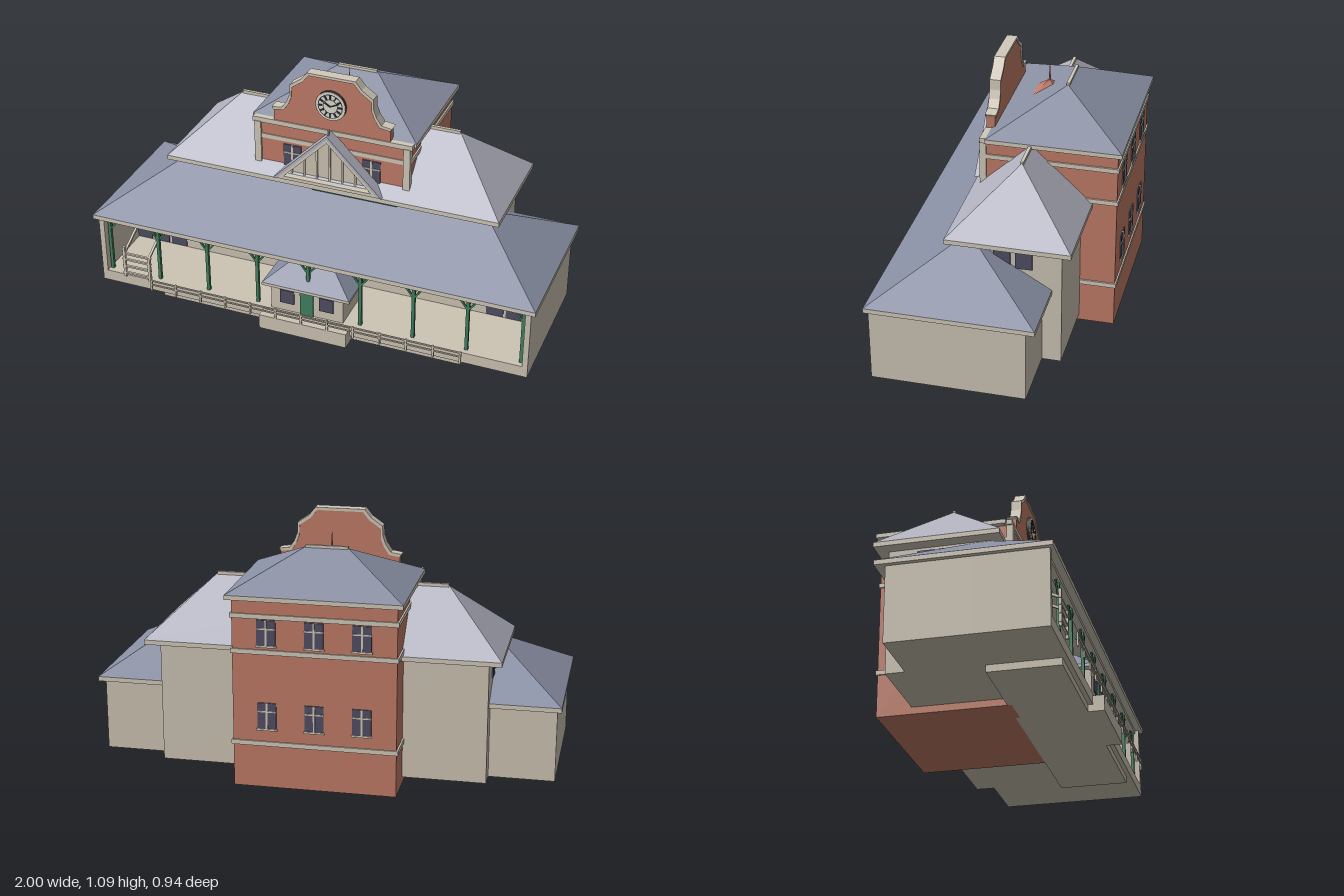
import * as THREE from 'three';

const mat = (name, color, extra = {}) => Object.assign(new THREE.MeshStandardMaterial({ color, ...extra }), { name });
const M = {
  wall: mat('cream wall', 0xcdc4b4),
  trim: mat('pale trim', 0xd2cabb),
  brick: mat('brick', 0xc17c67),
  slate: mat('blue slate', 0x8a90a4),
  tile: mat('light slate', 0xb4b4c2),
  glass: mat('dark glass', 0x504e64),
  green: mat('green paint', 0x42805f),
  dark: mat('dark iron', 0x3c3c40),
  face: mat('dial white', 0xdcdacb),
};

export function createModel() {
  const root = new THREE.Group();
  const add = (name, geo, material, parent = root) => {
    const m = new THREE.Mesh(geo, material);
    m.name = name;
    parent.add(m);
    return m;
  };
  // box given by its limits on each axis
  const box = (name, x0, x1, y0, y1, z0, z1, material) => {
    const m = add(name, new THREE.BoxGeometry(x1 - x0, y1 - y0, z1 - z0), material);
    m.position.set((x0 + x1) / 2, (y0 + y1) / 2, (z0 + z1) / 2);
    return m;
  };
  // square bar between two points
  const bar = (name, a, b, t, material) => {
    const p = new THREE.Vector3(...a), q = new THREE.Vector3(...b);
    const m = add(name, new THREE.BoxGeometry(t, t, p.distanceTo(q)), material);
    m.position.copy(p).add(q).multiplyScalar(0.5);
    m.lookAt(q);
    return m;
  };
  // hipped roof on a flat eave board
  const hipRoof = (name, x, z0, z1, y0, y1, top, ridge, material) => {
    box(name + 'Eave', -x, x, y0, y1, z0, z1, M.trim);
    const zc = (z0 + z1) / 2;
    const A = [-x, y1, z1], B = [x, y1, z1], C = [x, y1, z0], D = [-x, y1, z0];
    const L = [-ridge, top, zc], R = [ridge, top, zc];
    const g = new THREE.BufferGeometry();
    const tris = [A, B, R, A, R, L, B, C, R, C, D, L, C, L, R, D, A, L];
    g.setAttribute('position', new THREE.Float32BufferAttribute(tris.flat(), 3));
    g.computeVertexNormals();
    add(name, g, material);
  };
  const extrude = (name, pts, depth, z, material, hole) => {
    const s = new THREE.Shape(pts.map(p => new THREE.Vector2(...p)));
    if (hole) s.holes.push(new THREE.Path(hole.map(p => new THREE.Vector2(...p))));
    const m = add(name, new THREE.ExtrudeGeometry(s, { depth, bevelEnabled: false }), material);
    m.position.z = z;
  };

  // low wing with open porch
  box('wingBody', -0.98, 0.98, 0.03, 0.35, -0.22, 0.12, M.wall);
  box('porchFloor', -0.98, 0.98, 0.03, 0.08, 0.12, 0.42, M.wall);
  for (const s of [-1, 1]) box('porchSideWall', s * 0.968 - 0.012, s * 0.968 + 0.012, 0.08, 0.35, 0.12, 0.42, M.wall);
  box('porchBeam', -0.956, 0.956, 0.335, 0.35, 0.375, 0.405, M.trim);
  hipRoof('wingRoof', 1, -0.26, 0.435, 0.35, 0.37, 0.575, 0.67, M.slate);
  box('foundation', -0.69, 0.69, 0, 0.03, 0.1, 0.4, M.wall);
  box('entrancePlinth', -0.2, 0.2, 0, 0.068, 0.1, 0.468, M.wall);

  // porch windows
  for (let i = 0; i < 22; i++) {
    const x = -0.924 + i * 0.088, low = Math.abs(x) > 0.72 ? 0.083 : 0.155;
    box('upperPorchWindow', x - 0.038, x + 0.038, 0.232, 0.315, 0.12, 0.124, M.glass);
    box('lowerPorchWindow', x - 0.038, x + 0.038, low, 0.197, 0.12, 0.124, M.glass);
  }
  box('porchWindowBar', -0.96, 0.96, 0.262, 0.267, 0.12, 0.128, M.trim);

  // green posts with curved-looking brackets
  for (let i = -4; i <= 4; i++) {
    const x = i * 0.236;
    box('porchPost', x - 0.007, x + 0.007, 0.08, 0.335, 0.383, 0.397, M.green);
    for (const s of [-1, 1]) {
      if (Math.abs(x + s * 0.04) < 0.95) bar('postBracket', [x, 0.28, 0.39], [x + s * 0.04, 0.332, 0.39], 0.008, M.green);
    }
    bar('postBracket', [x, 0.28, 0.39], [x, 0.332, 0.35], 0.008, M.green);
  }

  // front railing
  for (const y of [0.092, 0.112]) box('frontRail', -0.72, 0.71, y - 0.003, y + 0.003, 0.462, 0.468, M.wall);
  for (let i = 0; i <= 12; i++) {
    const x = -0.715 + i * 0.1183;
    box('railPost', x - 0.004, x + 0.004, 0.06, 0.118, 0.461, 0.469, M.wall);
  }

  // side steps with handrails
  for (const x of [-0.86, -0.74]) {
    box('stepNewel', x - 0.006, x + 0.006, 0.08, x < -0.8 ? 0.235 : 0.2, 0.424, 0.436, M.trim);
    bar('stepHandrail', [x, 0.2, 0.43], [x, 0.31, 0.2], 0.01, M.trim);
  }
  for (const y of [0.1, 0.135, 0.17, 0.2]) box('stepRail', -0.87, -0.73, y - 0.004, y + 0.004, 0.425, 0.435, M.trim);

  // entrance kiosk
  box('kioskBody', -0.165, 0.165, 0.068, 0.2, 0.19, 0.41, M.wall);
  hipRoof('kioskRoof', 0.2, 0.17, 0.43, 0.2, 0.213, 0.333, 0.05, M.slate);
  box('kioskDoor', -0.03, 0.03, 0.075, 0.19, 0.41, 0.416, M.green);
  for (const s of [-1, 1]) box('kioskWindow', s * 0.09 - 0.032, s * 0.09 + 0.032, 0.12, 0.185, 0.41, 0.415, M.glass);

  // middle block
  box('middleBody', -0.7, 0.7, 0.03, 0.56, -0.3, 0.12, M.wall);
  hipRoof('middleRoof', 0.757, -0.348, 0.17, 0.56, 0.58, 0.82, 0.5, M.tile);
  box('middleRidgeCap', -0.5, 0.5, 0.813, 0.827, -0.096, -0.082, M.trim);
  box('greenValance', -0.075, 0.31, 0.55, 0.56, 0.14, 0.16, M.green);
  for (const s of [-1, 1]) for (const z of [0.04, -0.055, -0.145]) {
    box('sideWindow', s * 0.702 - 0.003, s * 0.702 + 0.003, 0.455, 0.547, z - 0.035, z + 0.035, M.glass);
  }

  // brick tower
  box('towerBody', -0.345, 0.345, 0, 0.815, -0.45, 0.118, M.brick);
  for (const y of [0.185, 0.585, 0.737]) box('towerBand', -0.352, 0.352, y, y + 0.02, -0.456, 0.122, M.trim);
  hipRoof('towerRoof', 0.37, -0.47, 0.1, 0.815, 0.834, 0.982, 0.09, M.slate);
  box('towerRidgeCap', -0.09, 0.09, 0.976, 0.99, -0.192, -0.178, M.trim);
  box('frontCornice', -0.36, 0.36, 0.812, 0.834, 0.09, 0.125, M.trim);
  for (const s of [-1, 1]) box('cornerPilaster', s * 0.337 - 0.015, s * 0.337 + 0.015, 0.62, 0.815, 0.1, 0.128, M.trim);

  // tower windows: pane, sill and glazing bars, facing +z or -z
  const sash = (x, y0, y1, z, dir) => {
    const b = (n, xa, xb, ya, yb, d, m) => box(n, xa, xb, ya, yb, Math.min(z, z + dir * d), Math.max(z, z + dir * d), m);
    b('towerWindow', x - 0.04, x + 0.04, y0, y1, 0.005, M.glass);
    b('windowMullion', x - 0.004, x + 0.004, y0, y1, 0.008, M.trim);
    b('windowTransom', x - 0.04, x + 0.04, y1 - 0.04, y1 - 0.034, 0.008, M.trim);
    b('windowSill', x - 0.044, x + 0.044, y0 - 0.008, y0, 0.008, M.trim);
  };
  for (const x of [-0.2, 0, 0.2]) {
    sash(x, 0.262, 0.375, -0.45, -1);
    sash(x, 0.624, 0.733, -0.45, -1);
  }
  for (const x of [-0.18, 0.18]) sash(x, 0.62, 0.725, 0.118, 1);

  // stepped parapet with coping
  const half = [[0.262, 0.885], [0.215, 0.892], [0.193, 0.925], [0.18, 0.96], [0.178, 1.005], [0.128, 1.04], [0.1, 1.075]];
  const mirror = pts => [...pts, ...pts.slice().reverse().map(([x, y]) => [-x, y])];
  const outline = mirror([[0.262, 0.82], ...half]);
  extrude('parapet', outline, 0.037, 0.083, M.brick);
  const cap = mirror(half.map(([x, y]) => [x + 0.008, y + 0.012]));
  extrude('parapetCoping', [...cap, ...mirror(half).reverse()], 0.047, 0.078, M.trim);

  // clock
  const disc = (name, r, z0, z1, m) => {
    const d = add(name, new THREE.CylinderGeometry(r, r, z1 - z0, 32), m);
    d.rotation.x = Math.PI / 2;
    d.position.set(0, 0.955, (z0 + z1) / 2);
  };
  disc('clockCase', 0.068, 0.12, 0.13, M.dark);
  disc('clockFace', 0.066, 0.13, 0.133, M.face);
  for (const [r0, r1] of [[0.052, 0.056], [0.03, 0.033]]) {
    add('dialRing', new THREE.RingGeometry(r0, r1, 32), M.dark).position.set(0, 0.955, 0.1345);
  }
  for (let i = 0; i < 12; i++) {
    const a = i * Math.PI / 6, c = Math.sin(a), s = Math.cos(a);
    bar('hourMark', [c * 0.034, 0.955 + s * 0.034, 0.134], [c * 0.052, 0.955 + s * 0.052, 0.134], 0.007, M.dark);
  }
  bar('hourHand', [0, 0.955, 0.137], [-0.024, 0.97, 0.137], 0.005, M.dark);
  bar('minuteHand', [0, 0.955, 0.137], [0.036, 0.972, 0.137], 0.004, M.dark);

  // front gable
  extrude('gableWall', [[-0.23, 0.59], [0.23, 0.59], [0, 0.82]], 0.02, 0.12, M.wall);
  const chevron = (w, t, d) => [[-w, 0.585], [-w + d, 0.585], [0, t - d], [w - d, 0.585], [w, 0.585], [0, t]];
  extrude('gableRoof', chevron(0.247, 0.835, 0.016), 0.06, 0.12, M.tile);
  extrude('bargeBoard', chevron(0.232, 0.82, 0.018), 0.012, 0.166, M.trim);
  box('gableTieBeam', -0.225, 0.225, 0.585, 0.6, 0.14, 0.178, M.trim);
  for (let i = -3; i <= 3; i++) {
    const x = i * 0.058;
    box('gableBatten', x - 0.004, x + 0.004, 0.59, 0.8 - Math.abs(x), 0.14, 0.147, M.trim);
  }
  box('gableFinial', -0.004, 0.004, 0.8, 0.858, 0.156, 0.164, M.trim);

  // roof lantern and spire
  const lantern = add('lanternRoof', new THREE.ConeGeometry(0.13, 0.085, 4), M.brick);
  lantern.rotation.y = Math.PI / 4;
  lantern.position.set(0, 0.913, -0.087);
  add('lanternSpire', new THREE.ConeGeometry(0.006, 0.1, 8), M.brick).position.set(0, 0.987, -0.087);

  return root;
}
